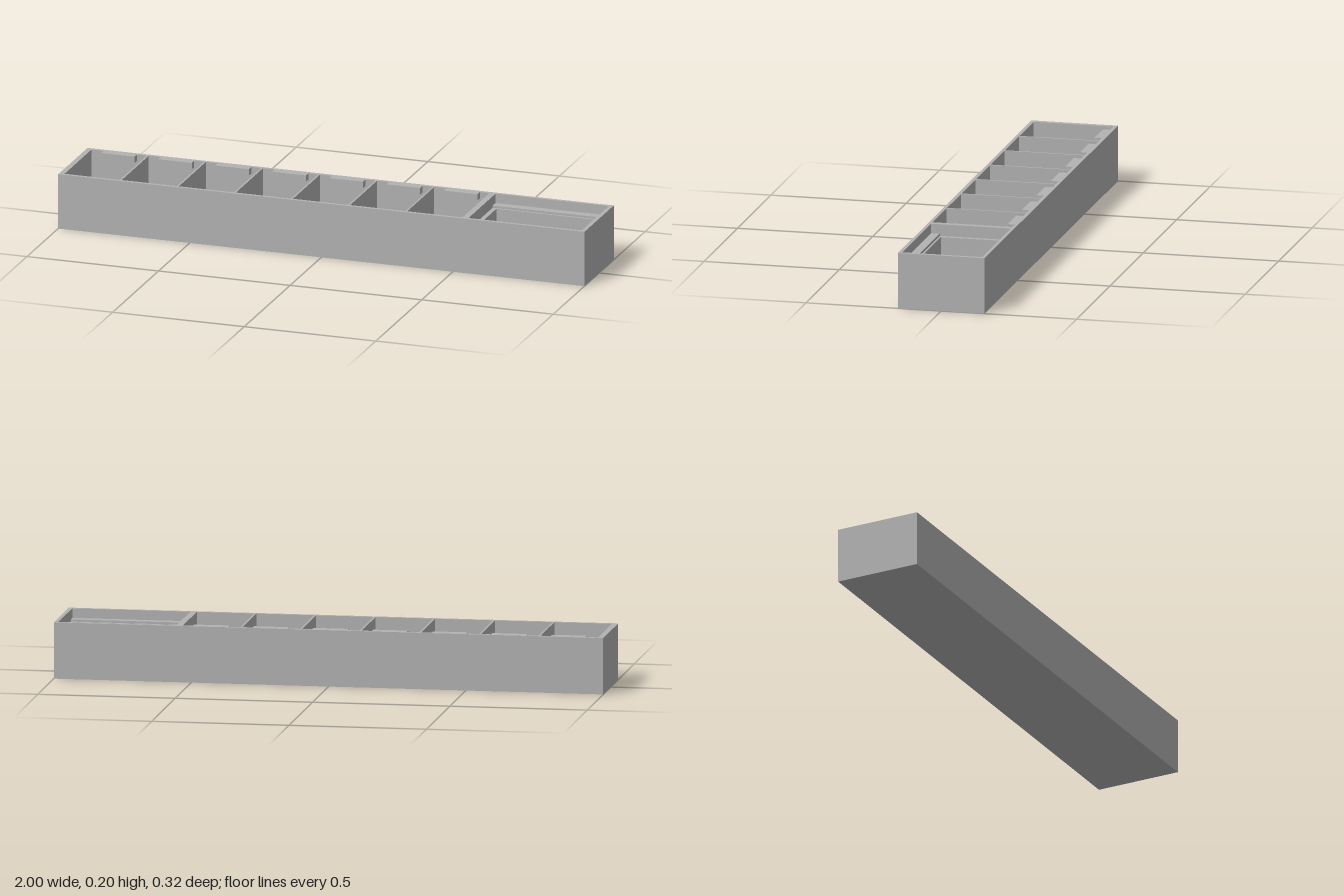
import * as THREE from 'three';

const grey = new THREE.MeshStandardMaterial({ color: 0xb2b2b2 });
grey.name = 'grey plastic';

const HEIGHT = 0.205, CELLS = 7, PITCH = 0.217, CELL_W = 0.21, CELL_X = -0.98;
const cellStart = (i) => CELL_X + i * PITCH;

// Closed rectangle; z is mirrored because the shape is later laid flat
function rect(PathType, x0, x1, z0, z1) {
  const p = new PathType();
  p.moveTo(x0, -z1);
  p.lineTo(x1, -z1);
  p.lineTo(x1, -z0);
  p.lineTo(x0, -z0);
  p.closePath();
  return p;
}

// Horizontal slab of the tray between two heights, with rectangular openings
function layer(name, y0, y1, openings) {
  const shape = rect(THREE.Shape, -1, 1, -0.16, 0.16);
  for (const o of openings) shape.holes.push(rect(THREE.Path, ...o));
  const geo = new THREE.ExtrudeGeometry(shape, { depth: y1 - y0, bevelEnabled: false });
  geo.rotateX(-Math.PI / 2);
  geo.translate(0, y0, 0);
  const mesh = new THREE.Mesh(geo, grey);
  mesh.name = name;
  return mesh;
}

export function createModel() {
  const tray = new THREE.Group();
  tray.name = 'dividedTray';

  const cells = [];
  for (let i = 0; i < CELLS; i++) {
    cells.push([cellStart(i), cellStart(i) + CELL_W, -0.147, 0.147]);
  }
  const groove = [CELL_X, cellStart(CELLS - 1) + CELL_W, -0.023, 0.023];
  const bay = [0.572, 0.985, -0.107, 0.107];
  const lowerStep = [0.555, 0.985, -0.115, 0.115];
  const upperStep = [0.555, 0.985, -0.147, 0.147];

  // Floor, shallow floor groove, cell walls, and the stepped end bay
  tray.add(
    layer('floor', 0, 0.013, []),
    layer('groovedFloor', 0.013, 0.02, [groove, bay]),
    layer('cellWalls', 0.02, 0.162, [...cells, bay]),
    layer('bayLowerStep', 0.162, 0.17, [...cells, lowerStep]),
    layer('rimAndUpperStep', 0.17, HEIGHT, [...cells, upperStep]),
  );

  // Small tab on the back wall of each cell, flush with the rim
  const tabGeo = new THREE.BoxGeometry(0.128, 0.024, 0.028);
  for (let i = 0; i < CELLS; i++) {
    const tab = new THREE.Mesh(tabGeo, grey);
    tab.name = `backTab${i + 1}`;
    tab.position.set(cellStart(i) + 0.109, HEIGHT - 0.012, -0.134);
    tray.add(tab);
  }
  return tray;
}
